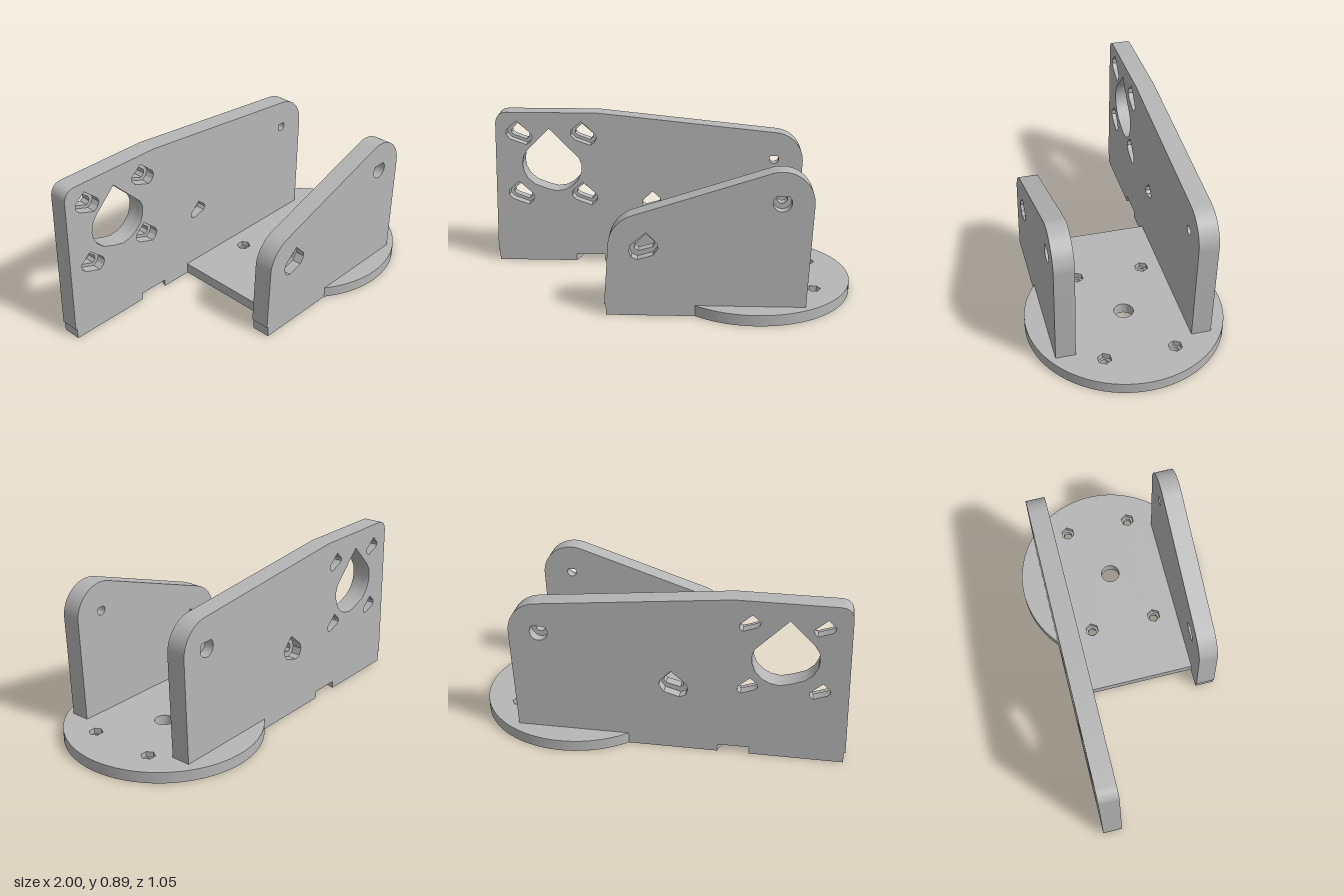
import * as THREE from 'three';
import { toCreasedNormals } from 'three/addons/utils/BufferGeometryUtils.js';

const steel = new THREE.MeshStandardMaterial({ color: 0xb6b6b6 });
steel.name = 'plain grey';

const polygon = (points, dx = 0, dy = 0) =>
  new THREE.Path(points.map(([x, y]) => new THREE.Vector2(x + dx, y + dy)));

const circle = (x, y, r) => new THREE.Path().absarc(x, y, r, 0, Math.PI * 2);

const hexagon = (x, y, r) => polygon(
  Array.from({ length: 6 }, (_, i) => [r * Math.cos(i * Math.PI / 3), r * Math.sin(i * Math.PI / 3)]), x, y);

// Round hole with a pointed top
function teardrop(x, y, r) {
  const path = new THREE.Path();
  path.moveTo(x, y + r * 1.414);
  path.absarc(x, y, r, Math.PI * 0.75, Math.PI * 2.25, false);
  path.closePath();
  return path;
}

// Slab with holes, running from z0 to z1
function slab(outline, holes, z0, z1) {
  const shape = outline();
  shape.holes = holes;
  const geometry = new THREE.ExtrudeGeometry(shape, { depth: z1 - z0, bevelEnabled: false, curveSegments: 32 });
  return geometry.translate(0, 0, z0);
}

function addMesh(group, name, geometry) {
  const mesh = new THREE.Mesh(toCreasedNormals(geometry, 0.45), steel);
  mesh.name = name;
  group.add(mesh);
}

// Right-hand end shared by both upright plates
function roundedEnd(s, startDegrees) {
  s.absarc(0.585, 0.622, 0.166, THREE.MathUtils.degToRad(startDegrees), -0.04, true);
  s.lineTo(0.73, 0.06);
  s.lineTo(0.725, 0);
  s.closePath();
  return s;
}

function backOutline() {
  const s = new THREE.Shape();
  s.moveTo(-0.375, 0);
  s.lineTo(-0.375, 0.04);
  s.lineTo(-0.54, 0.04);
  s.lineTo(-0.54, 0);
  s.lineTo(-0.992, 0);
  s.lineTo(-0.992, 0.06);
  s.lineTo(-1, 0.06);
  s.lineTo(-0.977, 0.82);
  s.quadraticCurveTo(-0.974, 0.888, -0.91, 0.89);
  s.lineTo(-0.4, 0.89);
  return roundedEnd(s, 84);
}

function frontOutline() {
  const s = new THREE.Shape();
  s.moveTo(-0.302, 0);
  s.lineTo(-0.302, 0.06);
  s.lineTo(-0.31, 0.06);
  s.lineTo(-0.285, 0.4);
  s.bezierCurveTo(-0.278, 0.47, -0.228, 0.527, -0.16, 0.55);
  return roundedEnd(s, 107);
}

// Disc joined to a rectangular web
function baseOutline() {
  const cx = 0.475, r = 0.525, half = 0.36;
  const a = Math.PI - Math.asin(half / r);
  const s = new THREE.Shape();
  s.moveTo(-0.2, half);
  s.lineTo(-0.2, -half);
  s.absarc(cx, 0, r, -a, a, false);
  s.closePath();
  return s;
}

// Slanted hole outlines: wide recess and narrow bore
const motorWide = [[-0.858, 0.84], [-0.917, 0.788], [-0.918, 0.76], [-0.896, 0.735], [-0.808, 0.703],
  [-0.785, 0.72], [-0.773, 0.745], [-0.78, 0.768]];
const motorNarrow = [[-0.858, 0.815], [-0.897, 0.778], [-0.897, 0.762], [-0.883, 0.748], [-0.812, 0.722],
  [-0.795, 0.738], [-0.796, 0.76]];
const pivotWide = [[-0.09, 0.46], [-0.17, 0.392], [-0.18, 0.36], [-0.167, 0.325], [-0.136, 0.313],
  [-0.056, 0.337], [-0.03, 0.375], [-0.034, 0.4]];
const pivotNarrow = [[-0.094, 0.433], [-0.15, 0.38], [-0.152, 0.355], [-0.135, 0.341], [-0.06, 0.362],
  [-0.048, 0.378], [-0.053, 0.395]];
const shaftOpening = [[-0.676, 0.797], [-0.8, 0.674], [-0.826, 0.635], [-0.834, 0.588], [-0.828, 0.548],
  [-0.808, 0.507], [-0.767, 0.47], [-0.7, 0.444], [-0.644, 0.43], [-0.595, 0.438], [-0.553, 0.46],
  [-0.518, 0.498], [-0.5, 0.545], [-0.498, 0.588], [-0.511, 0.626]];

const motorHoles = points =>
  [[0, 0], [0.364, 0], [0, -0.356], [0.364, -0.356]].map(([dx, dy]) => polygon(points, dx, dy));
const wideBoltHoles = () => [polygon(pivotWide), teardrop(0.59, 0.627, 0.047)];
const narrowBoltHoles = () => [polygon(pivotNarrow), teardrop(0.59, 0.634, 0.026)];

export function createModel() {
  const model = new THREE.Group();
  model.name = 'motorBracket';

  // Base, with hexagonal nut recesses in its upper half
  const base = new THREE.Group();
  base.name = 'base';
  const corners = [[0.155, 0.187], [0.792, 0.187], [0.155, -0.183], [0.792, -0.183]];
  const centreHole = () => circle(0.475, 0, 0.052);
  const lower = slab(baseOutline, [centreHole(), ...corners.map(([x, y]) => circle(x, y, 0.023))], 0, 0.03);
  const upper = slab(baseOutline, [centreHole(), ...corners.map(([x, y]) => hexagon(x, y, 0.038))], 0.03, 0.06);
  addMesh(base, 'baseLower', lower.rotateX(-Math.PI / 2));
  addMesh(base, 'baseUpper', upper.rotateX(-Math.PI / 2));
  model.add(base);

  // Tall back plate: motor recesses in front, bolt recesses behind
  const backPlate = new THREE.Group();
  backPlate.name = 'backPlate';
  const zFront = -0.293, zMid = -0.345, zBack = -0.397;
  const layers = [
    ['backPlateFrontLayer', [polygon(shaftOpening), ...motorHoles(motorWide), ...narrowBoltHoles()], zMid, zFront],
    ['backPlateRearLayer', [polygon(shaftOpening), ...motorHoles(motorNarrow), ...wideBoltHoles()], zBack, zMid],
  ];
  for (const [name, holes, z0, z1] of layers) {
    const geometry = slab(backOutline, holes, z0, z1);
    // Skew the notch in the bottom edge
    const p = geometry.attributes.position;
    for (let i = 0; i < p.count; i++) {
      const x = p.getX(i);
      if (p.getY(i) < 0.05 && x > -0.6 && x < -0.35) p.setX(i, x + (zFront - p.getZ(i)) * 0.34);
    }
    geometry.computeVertexNormals();
    addMesh(backPlate, name, geometry);
  }
  model.add(backPlate);

  // Short front plate with bolt recesses on the outside
  const frontPlate = new THREE.Group();
  frontPlate.name = 'frontPlate';
  addMesh(frontPlate, 'frontPlateOuterLayer', slab(frontOutline, wideBoltHoles(), 0.368, 0.42));
  addMesh(frontPlate, 'frontPlateInnerLayer', slab(frontOutline, narrowBoltHoles(), 0.316, 0.368));
  model.add(frontPlate);

  return model;
}
